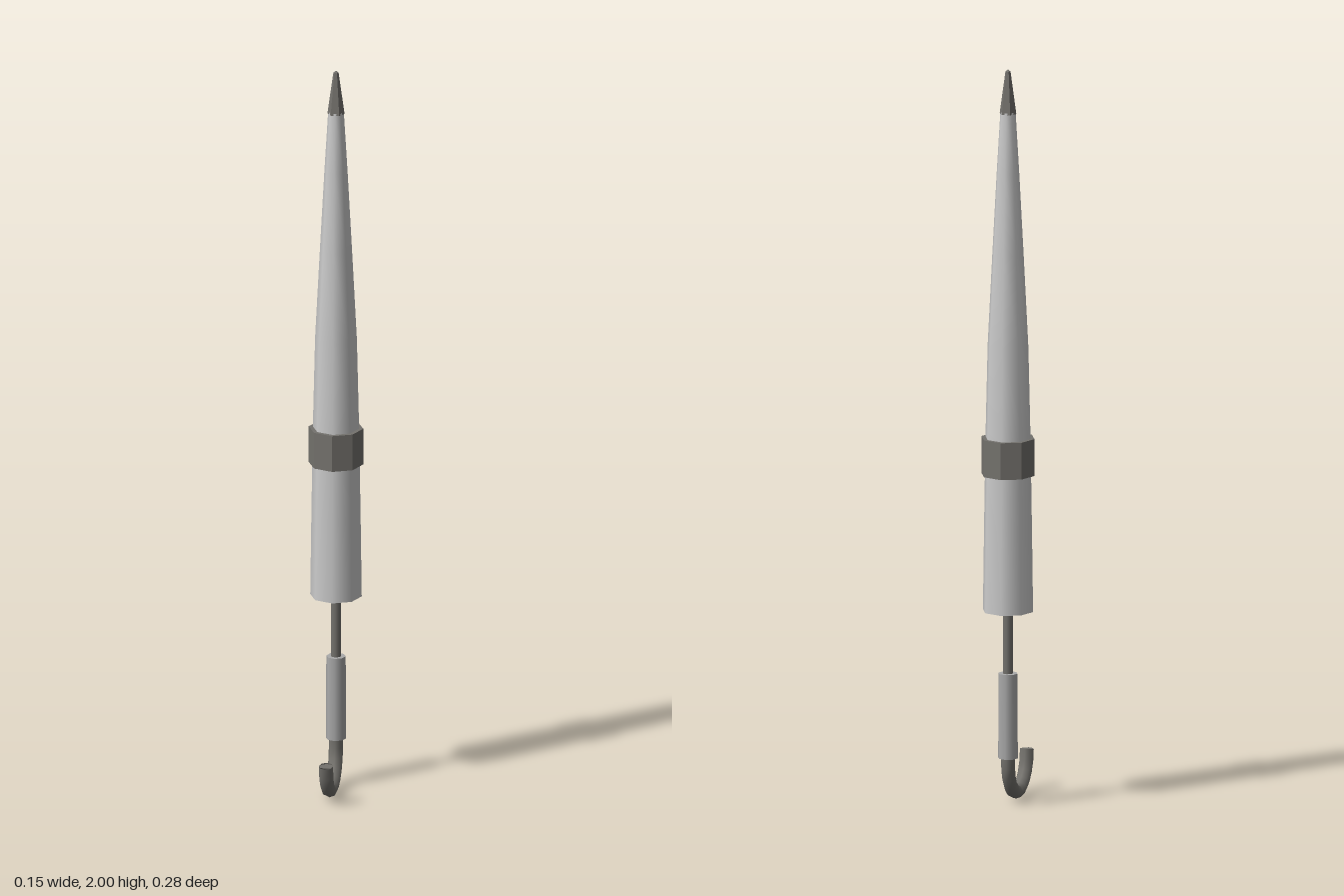
import * as THREE from 'three';

const AXIS_Z = -0.066; // the shaft stands behind the hook

function material(color, flatShading) {
  return new THREE.MeshStandardMaterial({ color, flatShading, side: THREE.DoubleSide });
}

export function createModel() {
  const group = new THREE.Group();
  const cloth = material(0xcccccc, false);
  const grey = material(0xaaaaaa, false);
  const dark = material(0x74726d, true);
  const darkSmooth = material(0x74726d, false);

  function add(name, geometry, mat, z = AXIS_Z) {
    const mesh = new THREE.Mesh(geometry, mat);
    mesh.name = name;
    mesh.position.z = z;
    group.add(mesh);
  }
  // Profile given as [radius, height] from bottom to top
  function lathe(points, sides, start = 0) {
    return new THREE.LatheGeometry(points.map(p => new THREE.Vector2(...p)), sides, start);
  }

  // Furled cloth: a long octagonal taper, closed underneath
  add('canopy', lathe([
    [0.069, 0.53], [0.066, 0.75], [0.062, 1.0], [0.056, 1.25],
    [0.043, 1.5], [0.031, 1.72], [0.021, 1.885],
  ], 8), cloth);
  add('canopyUnderside', lathe([[0, 0.545], [0.055, 0.54], [0.069, 0.53]], 8), cloth);

  // Band holding the cloth closed
  add('strap', lathe([
    [0.06, 0.9], [0.073, 0.9], [0.073, 1.0], [0.06, 1.0],
  ], 8), dark);

  // Pointed cap
  add('ferrule', lathe([
    [0, 1.88], [0.023, 1.88], [0.007, 1.995], [0, 2.0],
  ], 6, Math.PI / 6), dark);

  // Shaft and grip
  add('shaft', lathe([[0.014, 0.34], [0.014, 0.56]], 8), darkSmooth);
  const grip = new THREE.CylinderGeometry(0.026, 0.027, 0.23, 8);
  grip.translate(0, 0.245, 0);
  add('grip', grip, grey);

  // Hooked handle: half a circle swept forward from the shaft
  const path = new THREE.CurvePath();
  const points = [new THREE.Vector3(0, 0.135, -0.094)];
  for (let i = 0; i <= 8; i++) {
    const a = Math.PI * i / 8;
    points.push(new THREE.Vector3(0, 0.114 - 0.094 * Math.sin(a), -0.094 * Math.cos(a)));
  }
  for (let i = 1; i < points.length; i++) path.add(new THREE.LineCurve3(points[i - 1], points[i]));
  const curve = new THREE.CatmullRomCurve3(points);
  add('hook', new THREE.TubeGeometry(curve, 10, 0.019, 8), darkSmooth, 0.028);

  // Flat end of the hook
  const tip = new THREE.CircleGeometry(0.019, 8);
  tip.rotateX(-Math.PI / 2);
  tip.translate(0, 0.114, 0.094);
  add('hookTip', tip, dark, 0.028);

  return group;
}
